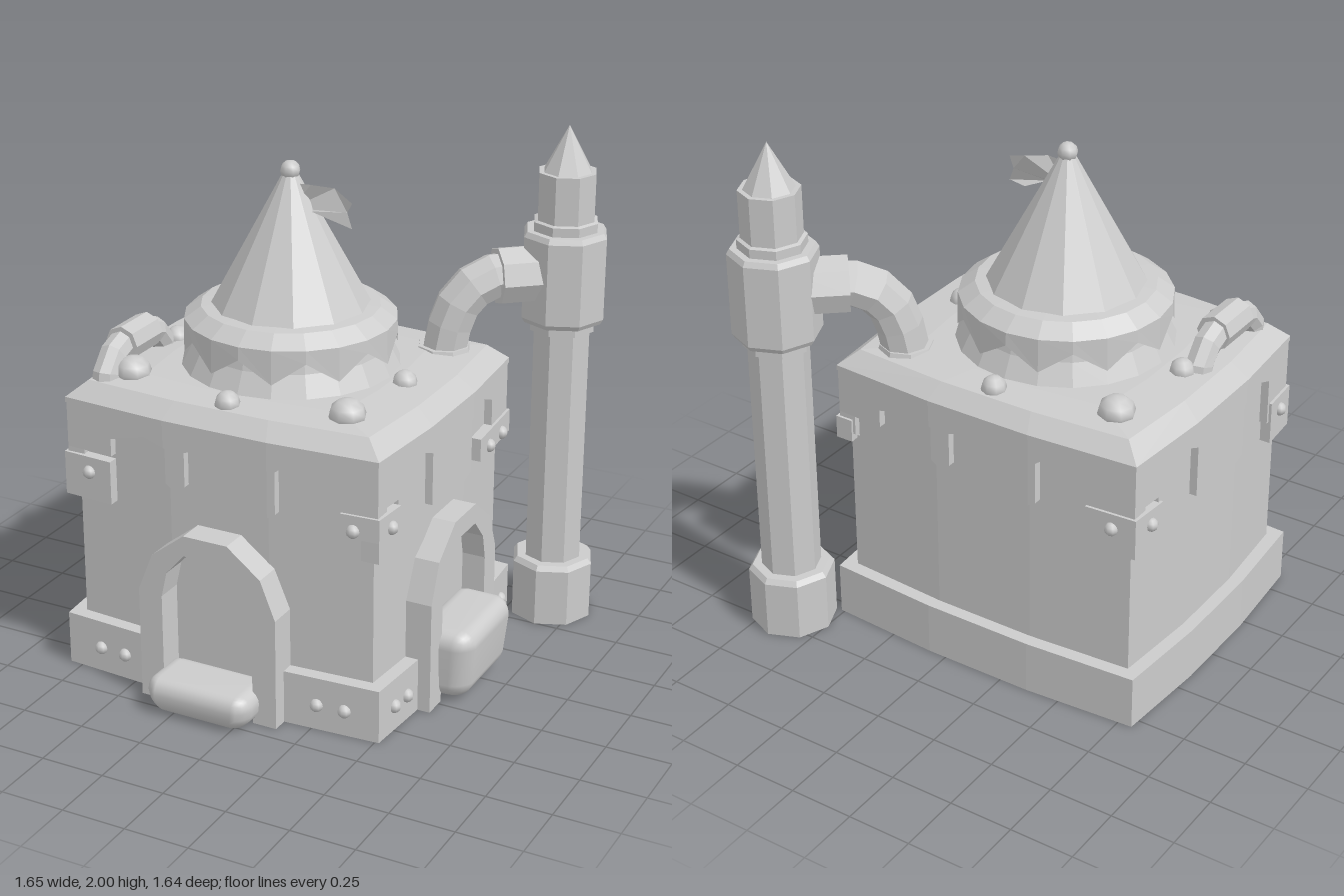
import * as THREE from 'three';
import { mergeGeometries, mergeVertices } from 'three/addons/utils/BufferGeometryUtils.js';
import { RoundedBoxGeometry } from 'three/addons/geometries/RoundedBoxGeometry.js';

const flat = new THREE.MeshStandardMaterial({ color: 0xcccccc, flatShading: true });
const thin = new THREE.MeshStandardMaterial({ color: 0xcccccc, flatShading: true, side: THREE.DoubleSide });
const smooth = new THREE.MeshStandardMaterial({ color: 0xcccccc });

const HX = 0.61, HZ = 0.525, BULGE = 0.028; // wall corner half sizes and side bulge
const CX = -0.145, CZ = 0.03; // tower centre

function add(parent, name, geometry, material = flat, x = 0, y = 0, z = 0) {
  const mesh = new THREE.Mesh(geometry, material);
  mesh.name = name;
  mesh.position.set(x, y, z);
  parent.add(mesh);
  return mesh;
}

const lathe = (points, sides) =>
  new THREE.LatheGeometry(points.map(([r, y]) => new THREE.Vector2(r, y)), sides);

const tube = (points, segments, radius) =>
  new THREE.TubeGeometry(new THREE.CatmullRomCurve3(points.map((p) => new THREE.Vector3(...p))), segments, radius, 8);

const bulgeAt = (u, w) => BULGE * Math.min(1, 1.5 * (1 - Math.abs(u) / w));

// Closed solid through bulged rectangles [hx, hz, y], listed from bottom to top
function loft(levels) {
  const pos = [], index = [], n = 12;
  for (const [hx, hz, y] of levels) {
    for (let k = 0; k < 4; k++) {
      const w = k % 2 ? hz : hx, out = k % 2 ? hx : hz, a = k * Math.PI / 2;
      for (const u of [-w, -w / 3, w / 3]) {
        const v = out + bulgeAt(u, w);
        pos.push(u * Math.cos(a) + v * Math.sin(a), y, v * Math.cos(a) - u * Math.sin(a));
      }
    }
  }
  for (let l = 0; l < levels.length - 1; l++) {
    for (let i = 0; i < n; i++) {
      const a = l * n + i, b = l * n + (i + 1) % n;
      index.push(a, b, b + n, a, b + n, a + n);
    }
  }
  const t = (levels.length - 1) * n;
  for (let i = 1; i < n - 1; i++) index.push(0, i + 1, i, t, t + i, t + i + 1);
  const g = new THREE.BufferGeometry();
  g.setAttribute('position', new THREE.Float32BufferAttribute(pos, 3));
  g.setIndex(index);
  g.computeVertexNormals();
  return g;
}

// Shell along one side (0 front, 1 left-hand, 2 back, 3 right-hand): top edge straight, lower edge through [u, y]
function strip(side, edge, top, offset) {
  const w = (side % 2 ? HZ : HX) + offset, out = (side % 2 ? HX : HZ) + offset;
  const parts = [];
  for (let i = 0; i < edge.length - 1; i++) {
    const [u0, u1] = [edge[i][0], edge[i + 1][0]].map((u) => THREE.MathUtils.clamp(u, -w, w));
    if (u1 - u0 < 1e-4) continue;
    const cuts = [u0, ...[-w / 3, w / 3].filter((c) => c > u0 && c < u1), u1];
    const low = (u) => THREE.MathUtils.mapLinear(u, u0, u1, edge[i][1], edge[i + 1][1]);
    for (let c = 0; c < cuts.length - 1; c++) {
      const a = cuts[c], b = cuts[c + 1];
      const shape = new THREE.Shape([[a, low(a)], [b, low(b)], [b, top], [a, top]].map((p) => new THREE.Vector2(...p)));
      parts.push(new THREE.ExtrudeGeometry(shape, { depth: 0.07, bevelEnabled: false }));
    }
  }
  const g = mergeGeometries(parts), p = g.attributes.position;
  for (let i = 0; i < p.count; i++) p.setZ(i, p.getZ(i) - 0.07 + out + bulgeAt(p.getX(i), w));
  g.computeVertexNormals();
  return g.rotateY(side * Math.PI / 2);
}

function bolt(parent, side, u, y, offset) {
  const w = (side % 2 ? HZ : HX) + offset, out = (side % 2 ? HX : HZ) + offset;
  const p = new THREE.Vector3(u, y, out + bulgeAt(u, w)).applyAxisAngle(new THREE.Vector3(0, 1, 0), side * Math.PI / 2);
  add(parent, 'bolt', new THREE.SphereGeometry(0.026, 8, 6), smooth, p.x, p.y, p.z);
}

// Arched frame with a padded sill, facing +z, centred on x
function doorway(name, sillHeight, sillDepth, sillY) {
  const g = new THREE.Group();
  g.name = name;
  const outer = [[0.285, 0], [0.285, 0.44], [0.225, 0.59], [0.09, 0.695]];
  const inner = [[0.188, 0], [0.188, 0.43], [0.165, 0.53], [0.09, 0.615]];
  const mirror = (pts) => pts.map(([x, y]) => [-x, y]).reverse();
  const outline = [...outer, ...mirror(outer), ...mirror(inner).reverse(), ...[...inner].reverse()];
  const shape = new THREE.Shape(outline.map((p) => new THREE.Vector2(...p)));
  add(g, 'archFrame', new THREE.ExtrudeGeometry(shape, { depth: 0.14, bevelEnabled: false }), flat, 0, 0, -0.03);

  let sill = new RoundedBoxGeometry(0.43, sillHeight, sillDepth, 3, Math.min(0.065, sillHeight * 0.4));
  sill.deleteAttribute('normal');
  sill.deleteAttribute('uv');
  sill = mergeVertices(sill, 1e-4);
  const p = sill.attributes.position;
  for (let i = 0; i < p.count; i++) {
    const side = Math.abs(p.getX(i)) / 0.215, front = p.getZ(i) / sillDepth + 0.5;
    const below = Math.max(0, -p.getY(i) / sillHeight);
    p.setZ(i, p.getZ(i) - front * (0.04 * side * side + 0.2 * below * sillHeight));
    p.setX(i, p.getX(i) * (1 - 0.25 * below * front));
  }
  sill.computeVertexNormals();
  add(g, 'sill', sill, smooth, 0, sillY, sillDepth / 2 - 0.01);
  return g;
}

export function createModel() {
  const model = new THREE.Group();
  const tower = new THREE.Group();
  tower.name = 'tower';
  tower.position.set(CX, 0, CZ);
  model.add(tower);

  // Walls and bevelled roof slab
  add(tower, 'walls', loft([[HX, HZ, 0], [HX, HZ, 1.09]]));
  add(tower, 'roofSlab', loft([[0.643, 0.558, 1.075], [0.643, 0.558, 1.095], [0.575, 0.5, 1.155], [0.4, 0.38, 1.17]]));

  // Dripping trim under the roof
  const wide = [[-1, 0.9], [-0.445, 0.9], [-0.445, 0.97], [-0.295, 1.01], [-0.205, 0.985], [-0.205, 0.85], [-0.165, 0.82],
    [-0.125, 0.85], [-0.125, 0.985], [0, 1.03], [0.115, 0.985], [0.115, 0.82], [0.185, 0.785], [0.245, 0.82],
    [0.245, 0.985], [0.29, 1.02], [0.345, 0.985], [0.345, 0.8], [0.48, 0.765], [1, 0.8]];
  const narrow = [[-1, 0.9], [-0.415, 0.9], [-0.415, 0.84], [-0.375, 0.825], [-0.335, 0.85], [-0.335, 0.985], [-0.255, 1.02],
    [-0.17, 0.985], [-0.17, 0.78], [0.05, 0.745], [0.17, 0.78], [0.17, 0.985], [0.275, 1.03], [0.385, 0.985],
    [0.385, 0.8], [0.5, 0.78], [1, 0.82]];
  for (let k = 0; k < 4; k++) {
    add(tower, 'roofTrim', strip(k, k % 2 ? narrow : wide, 1.09, 0.03));
    // Skirting, left open at the two doorways
    const runs = k < 2 ? [[-1, -0.23], [0.23, 1]] : [[-1, 1]];
    for (const [a, b] of runs) add(tower, 'skirting', strip(k, [[a, 0], [b, 0]], 0.21, 0.05));
  }

  // Corner plates [side, from, to, bottom] and bolts [side, u, y, offset]
  const plates = [[0, -1, -0.445, 0.71], [0, 0.5, 1, 0.79], [1, -1, -0.415, 0.71], [1, 0.24, 1, 0.79],
    [2, 0.45, 1, 0.72], [3, -1, -0.4, 0.72], [3, 0.4, 1, 0.71]];
  for (const [side, a, b, low] of plates) add(tower, 'cornerPlate', strip(side, [[a, low], [b, low]], 0.88, 0.04));
  const bolts = [[0, -0.54, 0.82, 0.04], [0, 0.55, 0.82, 0.04], [1, -0.48, 0.82, 0.04], [1, 0.335, 0.82, 0.04],
    [1, 0.47, 0.82, 0.04], [2, 0.555, 0.82, 0.04], [3, -0.47, 0.82, 0.04], [3, 0.48, 0.82, 0.04],
    ...[-0.51, -0.4, 0.415, 0.525].map((u) => [0, u, 0.1, 0.05]),
    ...[-0.465, -0.375, 0.4, 0.485].map((u) => [1, u, 0.1, 0.05])];
  for (const b of bolts) bolt(tower, ...b);

  // Doorways
  const front = doorway('frontDoorway', 0.14, 0.26, 0.07);
  front.position.z = 0.55;
  const side = doorway('sideDoorway', 0.28, 0.26, 0.155);
  side.position.set(0.62, 0, 0.01);
  side.rotation.y = Math.PI / 2;
  tower.add(front, side);

  // Drum, zigzag collar, cone and finial
  add(tower, 'drum', lathe([[0.435, 1.14], [0.41, 1.17], [0.37, 1.25], [0.34, 1.38]], 20));
  const collar = lathe([[0.4, 1.26], [0.398, 1.35], [0.335, 1.395], [0.28, 1.4]], 20);
  const cp = collar.attributes.position;
  for (let i = 0; i < cp.count; i++) {
    if (cp.getY(i) < 1.3) cp.setY(i, 1.26 + 0.04 * Math.cos(10 * Math.atan2(cp.getX(i), cp.getZ(i))));
  }
  add(tower, 'zigzagCollar', collar, thin);
  add(tower, 'coneRoof', lathe([[0.3, 1.39], [0.012, 1.92]], 12));
  add(tower, 'finial', new THREE.SphereGeometry(0.038, 8, 6), smooth, 0, 1.9, 0);

  // Pennant
  const flag = new THREE.ShapeGeometry(new THREE.Shape([[0.01, 1.855], [0.09, 1.86], [0.17, 1.85], [0.26, 1.815], [0.235, 1.775],
    [0.26, 1.72], [0.17, 1.73], [0.09, 1.76], [0.01, 1.76]].map((p) => new THREE.Vector2(...p))));
  const fp = flag.attributes.position;
  for (let i = 0; i < fp.count; i++) fp.setZ(i, 0.02 * Math.sin(fp.getX(i) * 28));
  flag.computeVertexNormals();
  add(tower, 'pennant', flag, thin);

  // Domed studs on the roof [x, z, radius]
  const studs = [[-0.455, -0.385, 0.07], [0, -0.475, 0.048], [0.475, 0.01, 0.048], [0.435, 0.39, 0.07],
    [0, 0.48, 0.048], [-0.45, 0.39, 0.07], [-0.495, 0, 0.048]];
  for (const [x, z, r] of studs) add(tower, 'roofStud', new THREE.SphereGeometry(r, 8, 6), smooth, x, 1.165 + (r - 0.048) * 0.4, z).scale.y = r > 0.05 ? 0.85 : 1;

  // Small looped pipe with a sleeve
  add(model, 'smallPipe', tube([[-0.675, 1.1, 0.49], [-0.675, 1.2, 0.46], [-0.675, 1.25, 0.36], [-0.675, 1.25, 0.2],
    [-0.675, 1.2, 0.11], [-0.675, 1.1, 0.08]], 8, 0.053));
  const sleeve = add(model, 'smallPipeSleeve', new THREE.CylinderGeometry(0.068, 0.068, 0.18, 8), flat, -0.672, 1.25, 0.285);
  sleeve.rotation.x = Math.PI / 2;

  // Chimney: base, shaft, junction box, neck and tip
  add(model, 'chimney', lathe([[0, 0], [0.165, 0], [0.165, 0.23], [0.15, 0.25], [0.114, 0.25], [0.114, 1.2], [0.13, 1.205],
    [0.13, 1.24], [0.155, 1.24], [0.167, 1.26], [0.167, 1.58], [0.155, 1.6], [0.128, 1.6], [0.128, 1.635], [0.114, 1.64],
    [0.114, 1.825], [0.095, 1.825], [0, 2]], 8), flat, 0.655, 0, -0.662);

  // Elbow pipe from roof to chimney, with a sleeve at the junction
  add(model, 'elbowPipe', tube([[0.3, 1.08, -0.36], [0.31, 1.22, -0.37], [0.355, 1.36, -0.405], [0.44, 1.43, -0.48],
    [0.64, 1.43, -0.65]], 8, 0.088));
  const joint = add(model, 'elbowSleeve', new THREE.CylinderGeometry(0.112, 0.112, 0.2, 8), flat, 0.53, 1.43, -0.555);
  joint.quaternion.setFromUnitVectors(new THREE.Vector3(0, 1, 0), new THREE.Vector3(0.2, 0, -0.17).normalize());
  add(model, 'elbowFlange', new THREE.CylinderGeometry(0.1, 0.115, 0.05, 8), flat, 0.3, 1.15, -0.36);

  return model;
}
